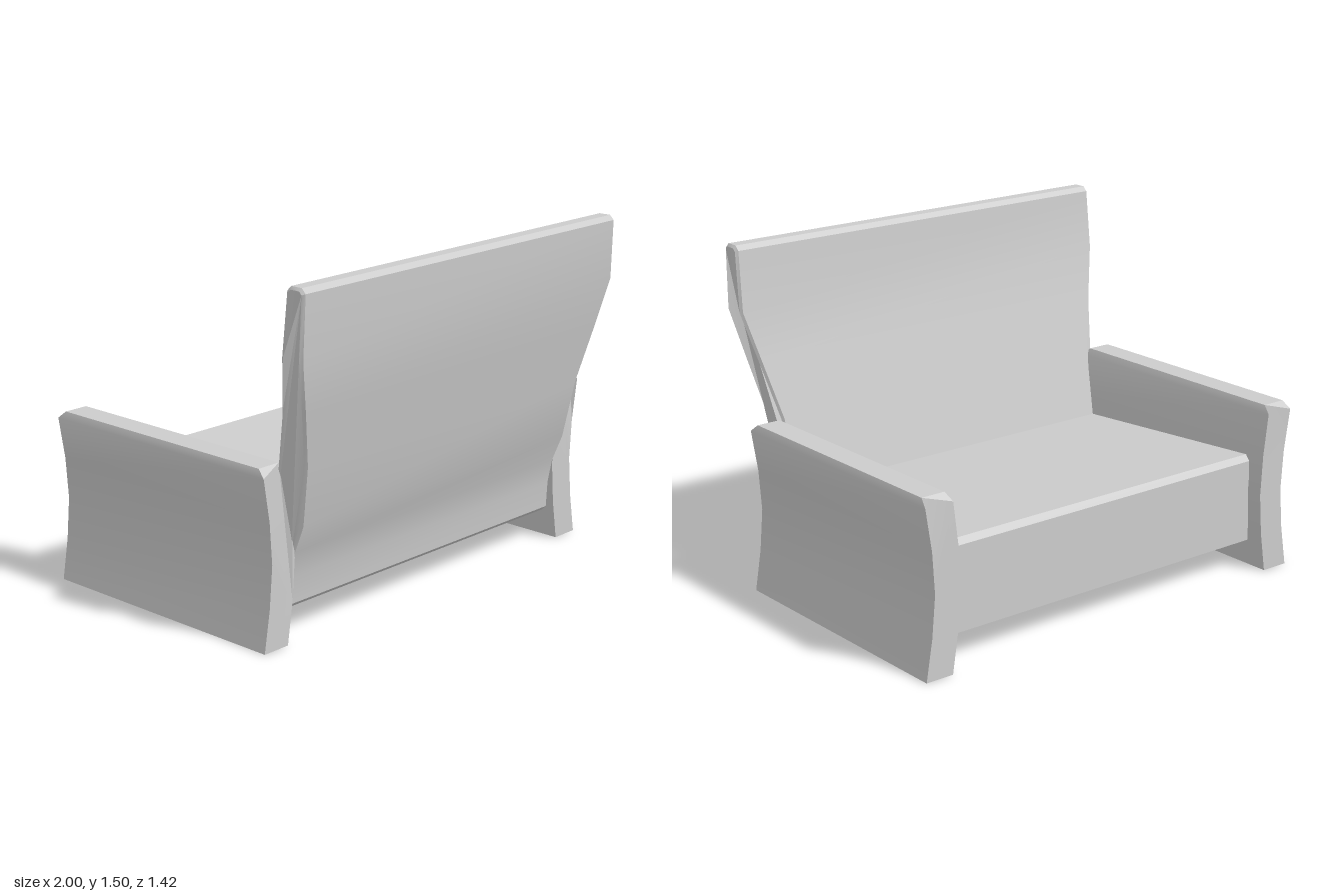
import * as THREE from 'three';
import { toCreasedNormals } from 'three/addons/utils/BufferGeometryUtils.js';

const upholstery = new THREE.MeshStandardMaterial({ color: 0xcccccc });
upholstery.name = 'light grey upholstery';

const shapeFrom = (pts) => new THREE.Shape(pts.map(([a, b]) => new THREE.Vector2(a, b)));

// Move every vertex of a geometry by a rule, then smooth the gentle bends
function reshape(geometry, rule) {
  const p = geometry.attributes.position;
  const v = new THREE.Vector3();
  for (let i = 0; i < p.count; i++) {
    rule(v.fromBufferAttribute(p, i));
    p.setXYZ(i, v.x, v.y, v.z);
  }
  return toCreasedNormals(geometry, 0.5);
}

// Half-width of the seat and backrest at each height
const widths = [[0.13, 0.845], [0.38, 0.835], [0.5, 0.838], [0.76, 0.86], [1.22, 0.975], [1.5, 0.97]];
function halfWidth(y) {
  for (let i = 1; i < widths.length; i++) {
    const [y0, w0] = widths[i - 1], [y1, w1] = widths[i];
    if (y <= y1) return THREE.MathUtils.lerp(w0, w1, Math.max(0, (y - y0) / (y1 - y0)));
  }
  return widths[widths.length - 1][1];
}

// Seat and backrest: one L-shaped side profile (z, y) stretched sideways
function makeBody() {
  const profile = [
    [-0.635, 0.13], [-0.635, 0.5], [-0.612, 0.525], [0.4, 0.46],
    [0.475, 0.76], [0.535, 1.0], [0.59, 1.22], [0.615, 1.48], [0.635, 1.5],
    [0.69, 1.5], [0.71, 1.48], [0.7, 1.22], [0.66, 1.0], [0.612, 0.76],
    [0.565, 0.5], [0.515, 0.38], [0.49, 0.27], [0.48, 0.15], [0.46, 0.13],
  ];
  const geometry = new THREE.ExtrudeGeometry(shapeFrom(profile.map(([z, y]) => [-z, y])), {
    depth: 1.98, bevelEnabled: true, bevelThickness: 0.01, bevelSize: 0.012,
    bevelOffset: -0.012, bevelSegments: 1,
  });
  geometry.translate(0, 0, -0.99).rotateY(Math.PI / 2);
  const mesh = new THREE.Mesh(reshape(geometry, (v) => { v.x *= halfWidth(v.y); }), upholstery);
  mesh.name = 'seatAndBackrest';
  return mesh;
}

// Armrest: bowed cross-section (x, y) run front to back, top edge chamfered all round
function makeArm(side) {
  const section = [
    [0.87, 0], [1.0, 0], [0.97, 0.18], [0.954, 0.36], [0.966, 0.54], [0.996, 0.725],
    [0.985, 0.757], [0.875, 0.757], [0.862, 0.725], [0.838, 0.54], [0.828, 0.36], [0.842, 0.18],
  ];
  const geometry = new THREE.ExtrudeGeometry(shapeFrom(section.map(([x, y]) => [side * x, y])), {
    depth: 1.225, bevelEnabled: false,
  });
  geometry.translate(0, 0, -0.71);
  const mesh = new THREE.Mesh(reshape(geometry, (v) => {
    if (v.y > 0.74) v.z += v.z < 0 ? 0.038 : -0.038;
  }), upholstery);
  mesh.name = side > 0 ? 'leftArmrest' : 'rightArmrest';
  return mesh;
}

export function createModel() {
  const sofa = new THREE.Group();
  sofa.name = 'sofa';
  sofa.add(makeBody(), makeArm(1), makeArm(-1));
  return sofa;
}
